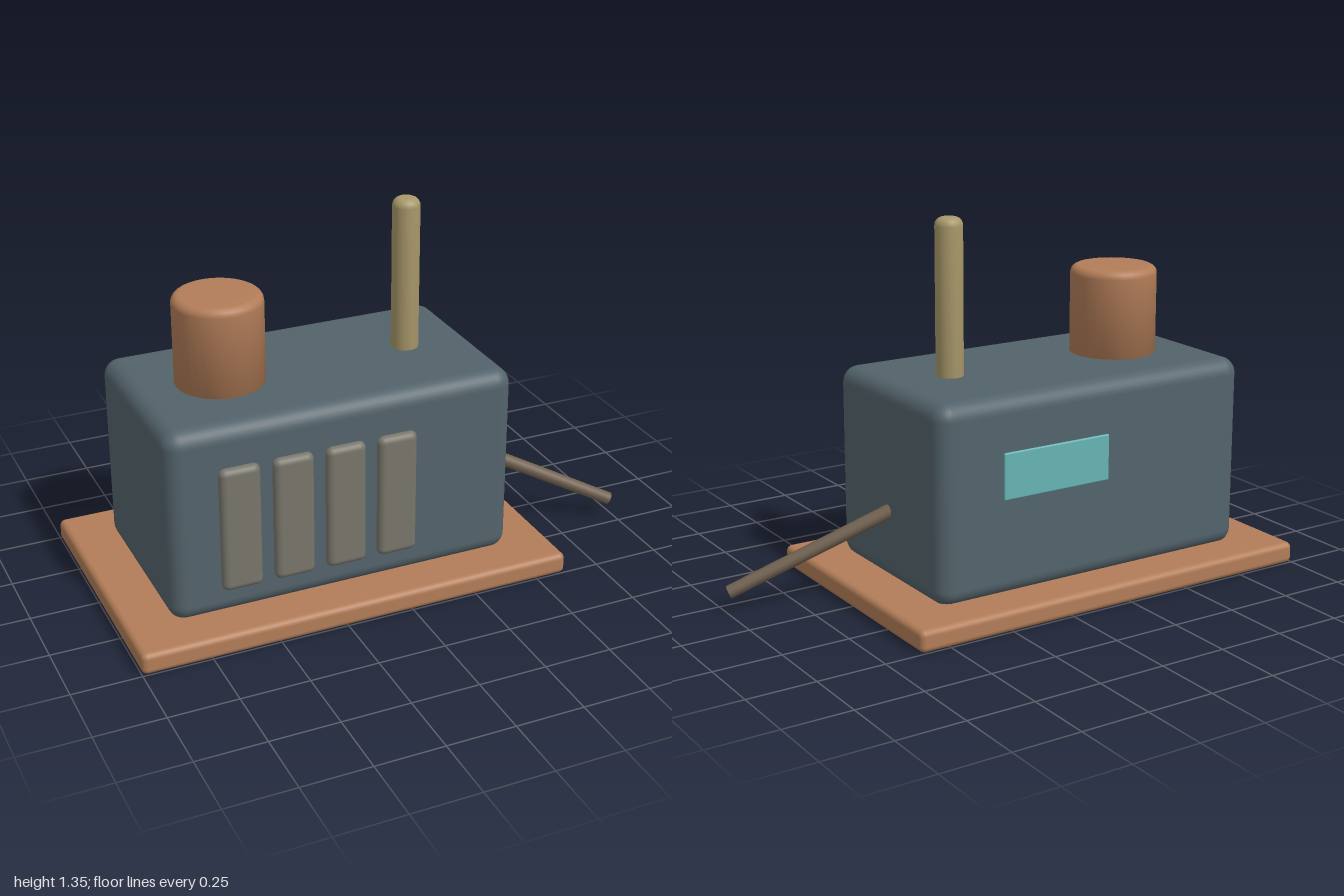
import * as THREE from 'three';
import { RoundedBoxGeometry } from 'three/addons/geometries/RoundedBoxGeometry.js';

const paint = (color) => new THREE.MeshStandardMaterial({ color });

export function createModel() {
  const model = new THREE.Group();
  const wood = paint(0xb27d58);
  const metal = paint(0x53636b);
  const ventGrey = paint(0x77756a);
  const brass = paint(0xa8986a);
  const rodBrown = paint(0x70604f);
  const teal = paint(0x66b3b3);

  const add = (name, geometry, material, x, y, z) => {
    const mesh = new THREE.Mesh(geometry, material);
    mesh.name = name;
    mesh.position.set(x, y, z);
    model.add(mesh);
    return mesh;
  };

  // Rounded box given by its lower and upper corners
  const block = (name, [x0, y0, z0], [x1, y1, z1], radius, material) =>
    add(name, new RoundedBoxGeometry(x1 - x0, y1 - y0, z1 - z0, 4, radius), material,
      (x0 + x1) / 2, (y0 + y1) / 2, (z0 + z1) / 2);

  // Closed upright post with a softened top edge
  const post = (name, radius, height, bevel, material, x, y) => {
    const points = [new THREE.Vector2(0, 0), new THREE.Vector2(radius, 0)];
    for (let i = 0; i <= 5; i++) {
      const a = (i / 5) * Math.PI / 2;
      points.push(new THREE.Vector2(
        radius - bevel + bevel * Math.cos(a), height - bevel + bevel * Math.sin(a)));
    }
    points.push(new THREE.Vector2(0, height));
    return add(name, new THREE.LatheGeometry(points, 32), material, x, y, 0);
  };

  // Base board and main housing
  block('base', [-1, 0, -0.505], [0.615, 0.08, 0.505], 0.022, wood);
  block('housing', [-0.84, 0.065, -0.36], [0.455, 0.785, 0.358], 0.06, metal);

  // Four upright vents on the front
  for (let i = 0; i < 4; i++) {
    const x = -0.587 + i * 0.194;
    block('vent', [x - 0.074, 0.168, 0.32], [x + 0.074, 0.635, 0.384], 0.025, ventGrey);
  }

  // Display panel on the back
  block('backPanel', [-0.24, 0.42, -0.366], [0.2, 0.59, -0.32], 0.006, teal);

  // Wide chimney and slim antenna on the roof
  post('chimney', 0.16, 0.35, 0.03, wood, -0.515, 0.76);
  post('antenna', 0.05, 0.59, 0.03, brass, 0.195, 0.76);

  // Slanting rod leaving the right-hand end
  const from = new THREE.Vector3(0.42, 0.34, -0.01);
  const to = new THREE.Vector3(0.985, 0.07, 0.195);
  const path = to.clone().sub(from);
  const rod = add('rod', new THREE.CylinderGeometry(0.024, 0.026, path.length(), 12),
    rodBrown, 0, 0, 0);
  rod.position.copy(from).add(to).multiplyScalar(0.5);
  rod.quaternion.setFromUnitVectors(new THREE.Vector3(0, 1, 0), path.normalize());

  return model;
}
